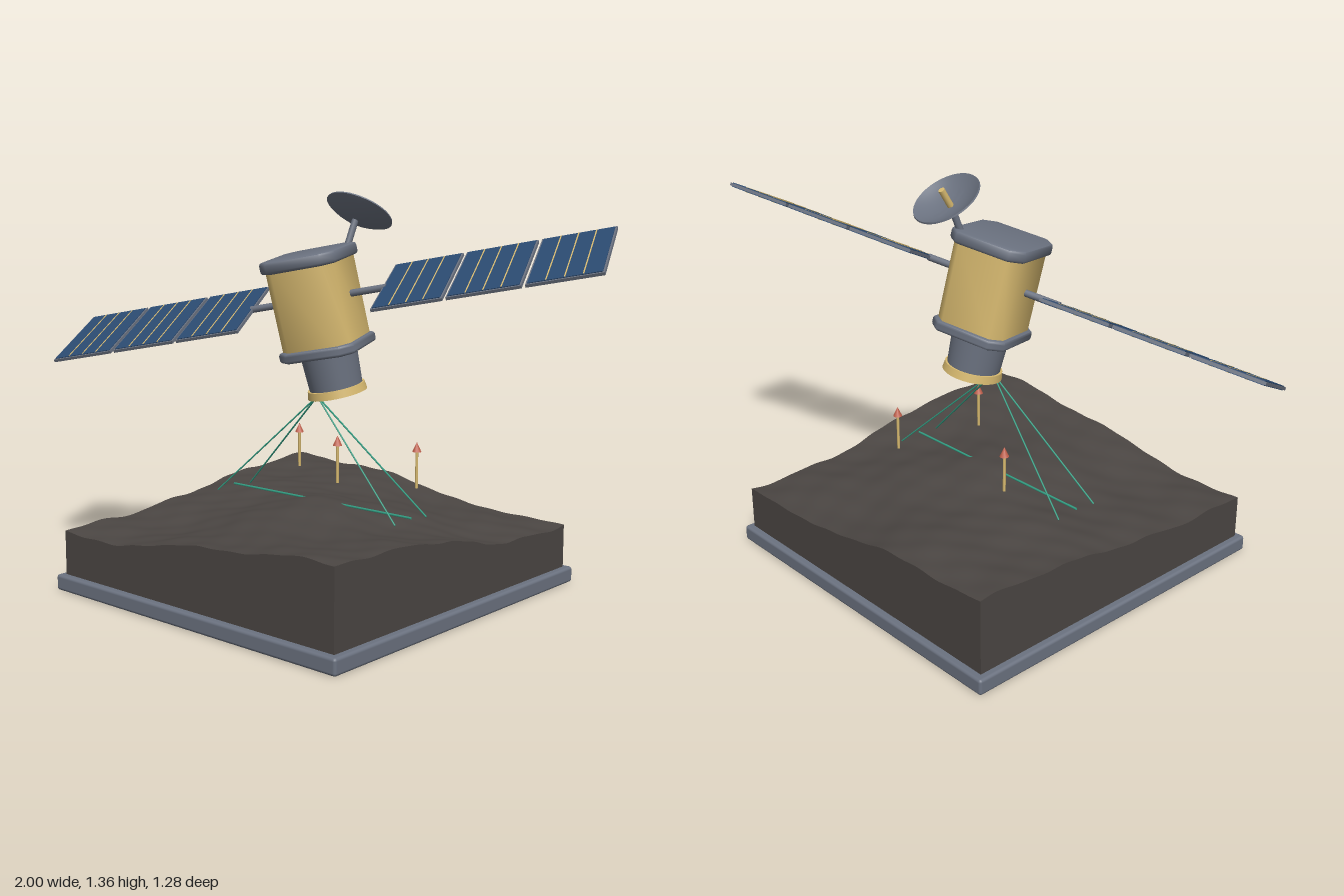
import * as THREE from 'three';
import { toCreasedNormals } from 'three/addons/utils/BufferGeometryUtils.js';
import { RoundedBoxGeometry } from 'three/addons/geometries/RoundedBoxGeometry.js';

const mat = (name, color) => {
  const m = new THREE.MeshStandardMaterial({ color });
  m.name = name;
  return m;
};

export function createModel() {
  const rock = mat('rock', 0x4b4643);
  const metal = mat('greyMetal', 0x6b7280);
  const gold = mat('goldFoil', 0xd8ba70);
  const blue = mat('solarBlue', 0x2b4a70);
  const teal = mat('beamTeal', 0x35a085);
  const red = mat('arrowRed', 0xc0604c);

  const root = new THREE.Group();
  root.name = 'satelliteOverTerrain';
  const add = (parent, name, geo, material, x = 0, y = 0, z = 0) => {
    const mesh = new THREE.Mesh(geo, material);
    mesh.name = name;
    mesh.position.set(x, y, z);
    parent.add(mesh);
    return mesh;
  };
  const up = new THREE.Vector3(0, 1, 0);
  // Straight rod between two points
  const rod = (parent, name, a, b, r, material, sides = 8) => {
    const p = new THREE.Vector3(...a), q = new THREE.Vector3(...b);
    const d = q.clone().sub(p);
    const mesh = add(parent, name, new THREE.CylinderGeometry(r, r, d.length(), sides), material);
    mesh.position.copy(p).add(q).multiplyScalar(0.5);
    mesh.quaternion.setFromUnitVectors(up, d.normalize());
    return mesh;
  };

  // Plinth
  add(root, 'plinth', new RoundedBoxGeometry(1.28, 0.055, 1.28, 2, 0.01), metal, 0, 0.0275, 0);

  // Terrain block: two high and two low corners, a central rise and fine ridges
  const height = (x, z) => {
    const wx = x + 0.05 * Math.sin(7 * z + 1), wz = z + 0.05 * Math.sin(6 * x + 2);
    const ridges = 0.006 * Math.sin(11 * wx + 5 * wz) + 0.005 * Math.sin(19 * wz - 8 * wx + 1.3)
      + 0.003 * Math.sin(31 * wx + 17 * wz) * Math.sin(27 * wz - 9 * wx);
    return 0.257 + 0.052 * Math.tanh(6 * x * z) + 0.05 * Math.exp(-(x * x + z * z) / 0.09) + ridges;
  };
  const ground = new THREE.BoxGeometry(1.23, 0.2, 1.23, 72, 1, 72);
  const gp = ground.attributes.position;
  for (let i = 0; i < gp.count; i++) {
    gp.setY(i, gp.getY(i) > 0 ? height(gp.getX(i), gp.getZ(i)) : 0.05);
  }
  ground.computeVertexNormals();
  add(root, 'terrain', ground, rock);

  // Radar beams and the scan line on the ground
  for (const x of [-0.41, 0.41]) {
    for (const z of [-0.083, 0.083]) {
      rod(root, 'radarBeam', [0, 0.67, 0], [x, 0.297, z], 0.003, teal, 6);
    }
  }
  rod(root, 'scanLine', [-0.41, 0.307, 0], [0.41, 0.307, 0], 0.004, teal, 6);

  // Uplift arrows
  for (const [x, y, z] of [[-0.24, 0.37, -0.17], [0.155, 0.4, 0.072], [0.275, 0.355, -0.205]]) {
    rod(root, 'arrowShaft', [x, y, z], [x, y + 0.13, z], 0.005, gold);
    add(root, 'arrowHead', new THREE.ConeGeometry(0.016, 0.034, 12), red, x, y + 0.144, z);
  }

  // Satellite, turned and tilted
  const sat = new THREE.Group();
  sat.name = 'satellite';
  const X = new THREE.Vector3(0.936, 0.176, -0.304).normalize();
  const Z = new THREE.Vector3().crossVectors(X, new THREE.Vector3(-0.128, 0.977, 0.172)).normalize();
  const Y = new THREE.Vector3().crossVectors(Z, X);
  sat.quaternion.setFromRotationMatrix(new THREE.Matrix4().makeBasis(X, Y, Z));
  sat.position.set(0, 1.005, 0);
  root.add(sat);

  // Square prism with cut corners, centred on the origin
  const prism = (w, h, cut, bevel) => {
    const a = w / 2 - bevel, b = a - cut;
    const s = new THREE.Shape([[a, -b], [a, b], [b, a], [-b, a], [-a, b], [-a, -b], [-b, -a], [b, -a]]
      .map(([x, y]) => new THREE.Vector2(x, y)));
    const g = new THREE.ExtrudeGeometry(s, {
      depth: h - 2 * bevel, bevelEnabled: bevel > 0, bevelSize: bevel, bevelThickness: bevel, bevelSegments: 2,
    });
    g.translate(0, 0, bevel - h / 2);
    g.rotateX(-Math.PI / 2);
    return toCreasedNormals(g, 0.9);
  };
  add(sat, 'body', prism(0.252, 0.31, 0.035, 0), gold, 0, -0.015, 0);
  add(sat, 'topPlate', prism(0.28, 0.042, 0.035, 0.01), metal, 0, 0.14, 0);
  add(sat, 'bottomPlate', prism(0.28, 0.036, 0.035, 0.01), metal, 0, -0.17, 0);

  // Instrument barrel with its gold rim
  add(sat, 'barrel', new THREE.CylinderGeometry(0.1, 0.092, 0.15, 40), metal, 0, -0.24, 0);
  add(sat, 'barrelRim', new THREE.CylinderGeometry(0.1, 0.104, 0.027, 40), gold, 0, -0.321, 0);

  // Solar wings: three framed panels each, cells on both faces
  for (const side of [-1, 1]) {
    const wing = new THREE.Group();
    wing.name = side > 0 ? 'leftWing' : 'rightWing';
    wing.rotation.x = 0.3;
    sat.add(wing);
    rod(wing, 'wingBoom', [side * 0.1, 0, 0], [side * 0.255, 0, 0], 0.012, metal, 12);
    for (let i = 0; i < 3; i++) {
      const x = side * (0.3665 + i * 0.2575);
      add(wing, 'panelFrame', new THREE.BoxGeometry(0.245, 0.01, 0.328), metal, x, 0, 0);
      for (const face of [-1, 1]) {
        add(wing, 'solarCells', new THREE.BoxGeometry(0.233, 0.003, 0.316), blue, x, face * 0.006, 0);
        for (const k of [-1, 0, 1]) {
          add(wing, 'cellStrip', new THREE.BoxGeometry(0.004, 0.002, 0.312), gold, x + k * 0.058, face * 0.0078, 0);
        }
      }
    }
  }

  // Dish antenna on its mast
  rod(root, 'dishMast', [0.047, 1.13, -0.077], [0.062, 1.272, -0.126], 0.012, metal, 12);
  const dish = new THREE.Group();
  dish.name = 'dishAntenna';
  dish.position.set(0.064, 1.299, -0.144);
  dish.quaternion.setFromUnitVectors(up, new THREE.Vector3(0.04, 0.852, -0.523).normalize());
  root.add(dish);
  const profile = [];
  for (let i = 0; i <= 8; i++) profile.push(new THREE.Vector2(0.12 * i / 8, -0.037 * (1 - (i / 8) ** 2)));
  for (let i = 8; i >= 0; i--) profile.push(new THREE.Vector2(0.118 * i / 8, 0.005 - 0.036 * (1 - (i / 8) ** 2)));
  add(dish, 'dishBowl', toCreasedNormals(new THREE.LatheGeometry(profile, 40), 0.6), metal);
  rod(dish, 'dishFeed', [0, -0.033, 0], [0, 0.038, 0], 0.011, gold, 12);

  return root;
}
